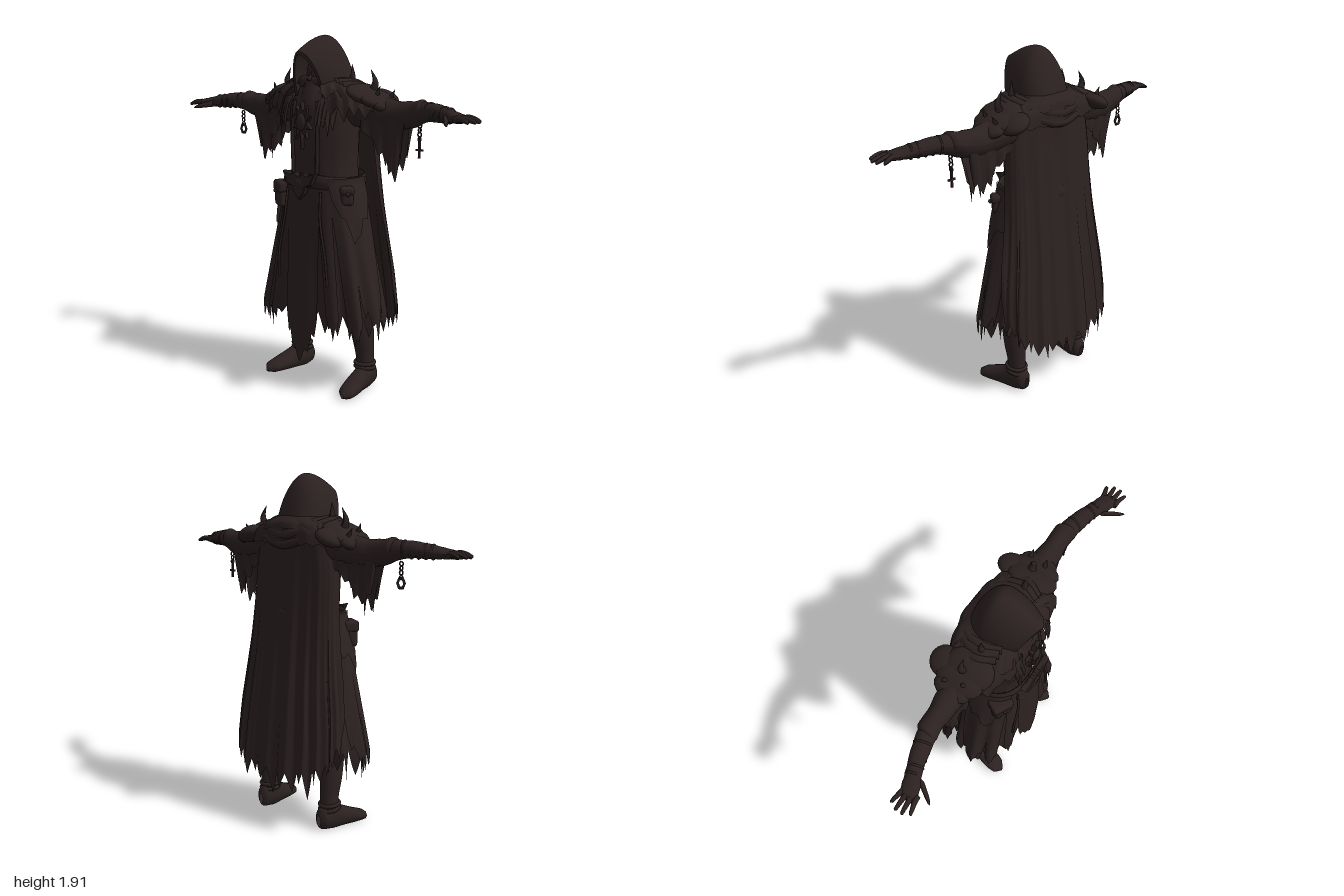
import * as THREE from 'three';
import { ParametricGeometry } from 'three/addons/geometries/ParametricGeometry.js';
import { RoundedBoxGeometry } from 'three/addons/geometries/RoundedBoxGeometry.js';

const cloth = new THREE.MeshStandardMaterial({ color: 0x2c2121, side: THREE.DoubleSide });
cloth.name = 'darkCloth';
const { sin, cos, abs, max, min, floor, PI } = Math;
const lerp = (a, b, t) => a + (b - a) * t;
const rand = k => { const s = sin(k * 127.1 + 11.7) * 43758.5453; return s - floor(s); };
// saw-tooth 0..1 for torn hems
const jag = (u, n, seed = 0) => {
  const k = floor(u * n), f = u * n - k;
  return (1 - abs(2 * f - 1)) * (0.3 + 0.7 * rand(k + seed * 31));
};
const pw = (c, p) => Math.sign(c) * Math.pow(abs(c), p);

export function createModel() {
  const root = new THREE.Group();
  root.name = 'hoodedFigure';

  const add = (name, geo, pos = [0, 0, 0], rot = [0, 0, 0], scale = [1, 1, 1]) => {
    const m = new THREE.Mesh(geo, cloth);
    m.name = name;
    m.position.set(...pos); m.rotation.set(...rot); m.scale.set(...scale);
    root.add(m);
    return m;
  };
  // surface from f(u, v) -> [x, y, z]
  const sheet = (name, f, nu, nv) => {
    const g = new ParametricGeometry((u, v, t) => t.set(...f(u, v)), nu, nv);
    g.computeVertexNormals();
    return add(name, g);
  };
  // smooth loft through rows [x, y, z, a, b], with rings square to one axis
  const loft = (name, axis, rows, n = 20, mod = null) => {
    const c = new THREE.CatmullRomCurve3(rows.map(r => new THREE.Vector3(r[0], r[1], r[2])));
    const k = new THREE.CatmullRomCurve3(rows.map(r => new THREE.Vector3(r[3], r[4], 0)));
    return sheet(name, (u, v) => {
      const q = u * 2 * PI - PI / 2, p = c.getPoint(v), r = k.getPoint(v), m = mod ? mod(q, v) : 1;
      const a = max(r.x, 0.001) * cos(q) * m, b = max(r.y, 0.001) * sin(q) * m;
      if (axis === 'x') return [p.x, p.y + a, p.z + b];
      if (axis === 'y') return [p.x + a, p.y, p.z + b];
      return [p.x + a, max(0, p.y + b), p.z];
    }, n, (rows.length - 1) * 4);
  };
  const cord = (name, pts, r, n = 12) => add(name, new THREE.TubeGeometry(
    new THREE.CatmullRomCurve3(pts.map(p => new THREE.Vector3(...p))), n, r, 8));
  const plate = (name, pts, depth, pos) => add(name, new THREE.ExtrudeGeometry(
    new THREE.Shape(pts.map(p => new THREE.Vector2(...p))),
    { depth, bevelSize: 0.005, bevelThickness: 0.006, bevelSegments: 1 }), pos);

  // torso
  loft('torso', 'y', [[0, 1.1, 0.03, 0.2, 0.16], [0, 1.25, 0.03, 0.19, 0.165], [0, 1.42, 0.035, 0.2, 0.17],
    [0, 1.53, 0.03, 0.205, 0.165], [0, 1.62, 0.02, 0.17, 0.13], [0, 1.7, 0.02, 0.08, 0.08]], 48,
    (q, v) => 1 + 0.015 * sin(q * 14) * (1 - v));

  // skirt, and strips that lie on it
  const skirtPoint = (q, t, out = 1) => {
    const s = min(t, 1), f = out * (1 + 0.045 * s * sin(13 * q));
    const rx = (0.2 + 0.175 * Math.pow(max(s, 0), 0.9)) * f, rz = (0.165 + 0.03 * s) * f;
    return [rx * pw(cos(q), 0.8), 1.15 - 0.72 * t, 0.03 + rz * pw(sin(q), 0.8)];
  };
  sheet('skirt', (u, v) => skirtPoint(u * 2 * PI - PI / 2, v * (0.97 + 0.24 * jag(u, 26, 1))), 208, 20);
  const strip = (name, q, w, t0, t1, tip, teeth, seed, out) => sheet(name, (u, v) => {
    const t = lerp(t0, t1 + tip * (1 - abs(2 * u - 1)) + 0.12 * jag(u, teeth, seed), v);
    return skirtPoint(q + (u - 0.5) * w / (0.2 + 0.18 * max(0, min(t, 1))), t, out);
  }, teeth * 8, 16);
  strip('frontPanel', PI / 2, 0.17, 0, 1.02, 0.32, 5, 2, 1.05);
  for (const s of [1, -1]) {
    const at = a => PI / 2 - s * a;
    strip('innerSkirtStrip', at(0.5), 0.09, 0.05, 0.98, 0.12, 3, 3 + s, 1.04);
    strip('outerSkirtStrip', at(0.95), 0.13, 0.05, 1.0, 0.12, 4, 6 + s, 1.06);
    strip('sideSkirtStrip', at(1.45), 0.2, 0.02, 0.85, 0.2, 5, 9 + s, 1.06);
    strip('hipDrape', at(1.25), 0.24, -0.03, 0.12, 0.28, 4, 12 + s, 1.14);
    cord('hangingCord', [[s * 0.12, 1.1, 0.2], [s * 0.13, 0.95, 0.215], [s * 0.17, 0.75, 0.22], [s * 0.18, 0.6, 0.215]], 0.007);
  }

  // belt, buckle and pouches
  sheet('belt', (u, v) => {
    const p = skirtPoint(u * 2 * PI - PI / 2, 0, 1.06 + 0.06 * cos(v * 2 * PI));
    return [p[0], 1.145 + 0.038 * sin(v * 2 * PI) + 0.008 * cos(u * 4 * PI), p[2]];
  }, 48, 10);
  const half = [[0, 0.03], [0.03, 0.05], [0.06, 0.04], [0.11, 0.055], [0.08, 0.0], [0.045, -0.015], [0.03, -0.05], [0, -0.08]];
  plate('buckle', [...half, ...half.slice(1, -1).reverse().map(([x, y]) => [-x, y])], 0.025, [0, 1.14, 0.215]);
  add('buckleBoss', new THREE.SphereGeometry(0.04, 14, 10), [0, 1.14, 0.225], [0, 0, 0], [1, 1.1, 0.7]);
  const pouch = (x, y, z, w, h, ry) => {
    add('pouch', new RoundedBoxGeometry(w, h, 0.075, 3, 0.022), [x, y, z], [0, ry, 0]);
    add('pouchFlap', new RoundedBoxGeometry(w * 1.1, h * 0.45, 0.088, 3, 0.018), [x, y + h * 0.32, z], [0, ry, 0]);
    add('pouchStud', new THREE.SphereGeometry(0.012, 8, 6), [x + 0.045 * sin(ry), y + h * 0.15, z + 0.045 * cos(ry)]);
  };
  pouch(-0.205, 1.05, 0.15, 0.11, 0.14, -0.5);
  pouch(0.22, 1.08, 0.11, 0.07, 0.1, 0.9);

  // long cape with folds and a torn hem
  const capeW = new THREE.CatmullRomCurve3([[0.26, -0.13], [0.29, -0.14], [0.3, -0.155], [0.315, -0.175],
    [0.34, -0.2], [0.37, -0.22], [0.385, -0.24]].map(([x, z]) => new THREE.Vector3(x, z, 0)));
  sheet('cape', (u, v) => {
    const a = (u - 0.5) * PI, c = capeW.getPoint(v), edge = lerp(0.0, -0.07, v);
    const low = 0.62 - 0.3 * Math.pow(max(0, cos(a)), 0.5) - 0.15 * jag(u, 19, 4);
    const fold = 0.013 * v * cos(a * 17) + 0.005 * sin(a * 9);
    return [c.x * pw(sin(a), 0.85) * (1 + fold), lerp(1.6, low, v),
      lerp(edge, c.y, Math.pow(max(0, cos(a)), 0.6)) + fold * cos(a)];
  }, 190, 28);

  // shoulder mantle, open over the chest and torn at the hem
  const mantle = (name, rows, drop, teeth, seed) => {
    const c = new THREE.CatmullRomCurve3(rows.map(r => new THREE.Vector3(...r)));
    sheet(name, (u, v) => {
      const q = lerp(-PI * 1.38, PI * 0.38, u), p = c.getPoint(v), k = 1 + 0.03 * v * sin(q * 11 + seed);
      const y = p.y - v * v * drop * jag(u, teeth, seed) * (0.6 + 0.4 * sin(q)) + 0.02 * v * abs(sin(q));
      return [p.x * pw(cos(q), 0.9) * k, y, lerp(0.01, 0.025, v) + p.z * pw(sin(q), 0.8) * k];
    }, teeth * 8, 14);
  };
  mantle('lowerMantle', [[0.12, 1.68, 0.1], [0.24, 1.64, 0.15], [0.335, 1.595, 0.175], [0.365, 1.53, 0.185]], 0.09, 24, 5);
  mantle('upperMantle', [[0.11, 1.69, 0.11], [0.19, 1.66, 0.145], [0.25, 1.635, 0.17], [0.29, 1.6, 0.185]], 0.06, 20, 8);

  // cowl folds draped low over the back
  add('neckFold', new THREE.TorusGeometry(0.14, 0.03, 10, 40), [0, 1.65, 0.01], [PI / 2 - 0.14, 0, 0], [1.05, 0.87, 1]);
  [[0.165, 1.66, 1.625, -0.125, 0.026], [0.195, 1.655, 1.585, -0.14, 0.028], [0.23, 1.645, 1.535, -0.145, 0.024]]
    .forEach(([w, y0, y1, z, r], i) => cord('cowlFold' + (i + 1), [[-w * 0.8, y0, 0.11], [-w, y0, 0.02], [-w * 0.8, lerp(y0, y1, 0.5), z * 0.7],
      [0, y1, z], [w * 0.8, lerp(y0, y1, 0.5), z * 0.7], [w, y0, 0.02], [w * 0.8, y0, 0.11]], r, 40));

  // hood: pointed arches from the back of the head to the peak
  const hoodRows = [[0.03, 1.63, -0.118], [0.095, 1.69, -0.108], [0.12, 1.79, -0.075], [0.14, 1.865, -0.035],
    [0.15, 1.902, 0.01], [0.15, 1.902, 0.06], [0.142, 1.88, 0.13], [0.125, 1.85, 0.19], [0.105, 1.822, 0.24]];
  const hoodCurve = new THREE.CatmullRomCurve3(hoodRows.map(r => new THREE.Vector3(...r)));
  const hoodPoint = (s, v, inset = 0) => {
    const p = hoodCurve.getPoint(v), a = abs(s) * PI / 2, top = p.y - inset;
    return [Math.sign(s) * (p.x - inset) * Math.pow(sin(a), 1.12), top - (top - 1.59) * (1 - cos(a)),
      p.z - 0.09 * Math.pow(abs(s), 1.2) * v * v];
  };
  sheet('hood', (u, v) => hoodPoint(u * 2 - 1, v), 36, 32);
  sheet('hoodLining', (u, v) => hoodPoint(u * 2 - 1, 0.35 + 0.65 * v, 0.018), 36, 16);
  sheet('hoodRim', (u, v) => hoodPoint(u * 2 - 1, 1, 0.018 * v), 36, 1);
  add('face', new THREE.SphereGeometry(0.08, 20, 16), [0, 1.7, 0.065], [0, 0, 0], [0.9, 1.4, 1]);
  add('nose', new THREE.ConeGeometry(0.016, 0.06, 6), [0, 1.7, 0.145], [-0.25, 0, 0]);
  loft('faceWrap', 'y', [[0, 1.52, 0.08, 0.1, 0.12], [0, 1.6, 0.08, 0.085, 0.1], [0, 1.67, 0.07, 0.07, 0.085]], 24,
    (q, v) => 1 + 0.03 * sin(v * 22));

  // chest ornament and lapels
  add('chestBoss', new THREE.SphereGeometry(0.034, 12, 8), [0, 1.46, 0.218], [0, 0, 0], [1, 1.4, 0.6]);
  plate('chestStar', Array.from({ length: 20 }, (_, i) => {
    const a = i * PI / 10 + PI / 2, r = i % 2 ? 0.042 : 0.06 + 0.02 * rand(i);
    return [r * cos(a) * 0.85, r * sin(a) * 1.35];
  }), 0.012, [0, 1.46, 0.202]);
  cord('chestPendant', [[0, 1.4, 0.215], [0.005, 1.36, 0.215], [0, 1.32, 0.21]], 0.009);
  for (const s of [1, -1]) {
    sheet('chestFringe', (u, v) => [s * lerp(0.1, 0.2, u), lerp(1.59, 1.47 - 0.09 * jag(u, 5, 14 + s), v),
      lerp(0.17, 0.225, Math.sqrt(v)) - 0.05 * u * u], 40, 6);
    cord('lapel', [[s * 0.08, 1.57, 0.18], [s * 0.09, 1.4, 0.19], [s * 0.085, 1.18, 0.19]], 0.01);
  }

  for (const s of [1, -1]) {
    const side = rows => rows.map(([x, ...r]) => [s * x, ...r]);
    // arm, cuff wraps and hand
    loft('arm', 'x', side([[0.14, 1.52, 0, 0.09, 0.09], [0.3, 1.525, 0, 0.09, 0.08], [0.45, 1.505, 0, 0.075, 0.065],
      [0.57, 1.515, 0.005, 0.065, 0.05], [0.68, 1.535, 0.025, 0.045, 0.048], [0.8, 1.53, 0.06, 0.036, 0.042],
      [0.86, 1.522, 0.085, 0.028, 0.046], [0.91, 1.518, 0.1, 0.021, 0.046], [0.935, 1.515, 0.105, 0.008, 0.03]]),
      20, (q, v) => 1 + 0.03 * sin(v * 60 + q));
    loft('elbowGuard', 'x', side([[0.51, 1.52, 0, 0.05, 0.05], [0.57, 1.52, 0.002, 0.06, 0.053], [0.62, 1.535, 0.01, 0.058, 0.056],
      [0.64, 1.535, 0.017, 0.045, 0.045]]));
    for (let i = 0; i < 5; i++)
      add('forearmWrap', new THREE.TorusGeometry(0.042 - i * 0.002, 0.006, 6, 18),
        [s * (0.68 + i * 0.035), 1.535 - i * 0.002, 0.025 + i * 0.0105], [0, s * (PI / 2 - 0.3), 0.12 * (i % 2)]);
    for (let i = 0; i < 4; i++) {
      const z = 0.068 + i * 0.024, len = [0.07, 0.09, 0.09, 0.072][i], dz = i - 1.5;
      loft('finger', 'x', side([[0.89, 1.518, z, 0.016, 0.014], [0.925, 1.523, z + dz * 0.003, 0.015, 0.013],
        [0.908 + len * 0.65, 1.517, z + dz * 0.008, 0.013, 0.011], [0.905 + len, 1.509, z + dz * 0.011, 0.009, 0.008],
        [0.91 + len, 1.508, z + dz * 0.012, 0.001, 0.001]]), 8);
    }
    loft('thumb', 'x', side([[0.82, 1.515, 0.105, 0.02, 0.02], [0.85, 1.507, 0.145, 0.016, 0.02],
      [0.875, 1.5, 0.178, 0.013, 0.016], [0.893, 1.493, 0.2, 0.004, 0.006]]), 10);

    // torn hanging sleeve, front and back
    for (const f of [1, -1]) sheet(f > 0 ? 'sleeveFront' : 'sleeveBack', (u, v) => {
      const x = lerp(0.28, 0.555, u), peak = u < 0.8 ? Math.pow(u / 0.8, 1.4) : Math.pow((1 - u) / 0.2, 0.8);
      const low = 1.43 - (f > 0 ? 0.22 : 0.19) * peak - 0.06 * (0.3 + u) * jag(u, 8, 20 + f + s);
      return [s * (x - 0.03 * v * u), lerp(1.51, low, v), 0.005 + f * (0.068 - 0.02 * u - 0.025 * v * u) + 0.01 * v * sin(u * 20)];
    }, 64, 10);

    // layered shoulder plates and horns
    [[0.28, 1.605, 0.02, 0.1, 0.04, 0.13], [0.34, 1.58, 0.005, 0.08, 0.038, 0.125], [0.385, 1.555, -0.005, 0.065, 0.035, 0.1],
      [0.3, 1.58, -0.1, 0.08, 0.04, 0.08]]
      .forEach(([x, y, z, a, b, c]) => add('shoulderPlate', new THREE.SphereGeometry(1, 18, 12), [s * x, y, z], [0, 0, -s * 0.45], [a, b, c]));
    [[0.175, 1.64, 0.03, 0.012, 0.115, 0.025], [0.3, 1.62, 0, -0.012, 0.11, 0.025],
      [0.35, 1.59, 0.04, 0.03, 0.06, 0.018], [0.37, 1.58, -0.05, 0.035, 0.05, 0.018]]
      .forEach(([x, y, z, lean, h, r]) => loft('shoulderHorn', 'y', [[s * x, y, z, r, r], [s * (x + 0.016), y + h * 0.45, z, r * 0.6, r * 0.6],
        [s * (x + lean), y + h, z, 0.001, 0.001]], 8));

    // legs and boots
    loft('leg', 'y', side([[0.17, 0.7, 0.02, 0.08, 0.09], [0.22, 0.42, 0.0, 0.07, 0.08], [0.238, 0.28, -0.015, 0.056, 0.066],
      [0.24, 0.16, -0.03, 0.047, 0.054], [0.24, 0.06, -0.03, 0.05, 0.055]]));
    loft('boot', 'z', side([[0.235, 0.05, -0.108, 0.015, 0.03], [0.238, 0.06, -0.088, 0.042, 0.06], [0.242, 0.065, -0.03, 0.05, 0.08],
      [0.254, 0.052, 0.04, 0.052, 0.062], [0.27, 0.037, 0.12, 0.057, 0.042], [0.282, 0.027, 0.18, 0.047, 0.03],
      [0.287, 0.02, 0.215, 0.008, 0.012]]));
    [0.11, 0.135].forEach((y, i) => add('bootCuff', new THREE.TorusGeometry(0.05, 0.011, 8, 22),
      [s * 0.24, y, -0.028], [PI / 2 - 0.15 + i * 0.1, 0, 0], [1, 1.1, 1]));

    // wrist trinket chain
    const x = s > 0 ? 0.615 : -0.665;
    for (let i = 0; i < 4; i++)
      add('chainLink', new THREE.TorusGeometry(0.011, 0.004, 6, 10), [x, 1.465 - i * 0.022, 0.02], [0, (i % 2) * PI / 2, 0]);
  }
  add('ringCharm', new THREE.TorusGeometry(0.022, 0.007, 6, 6), [-0.665, 1.37, 0.02], [0, 0, 0], [1, 1.2, 1]);
  add('crossCharmUpright', new THREE.BoxGeometry(0.01, 0.1, 0.01), [0.615, 1.355, 0.02]);
  add('crossCharmBar', new THREE.BoxGeometry(0.042, 0.01, 0.01), [0.615, 1.345, 0.02]);
  return root;
}
